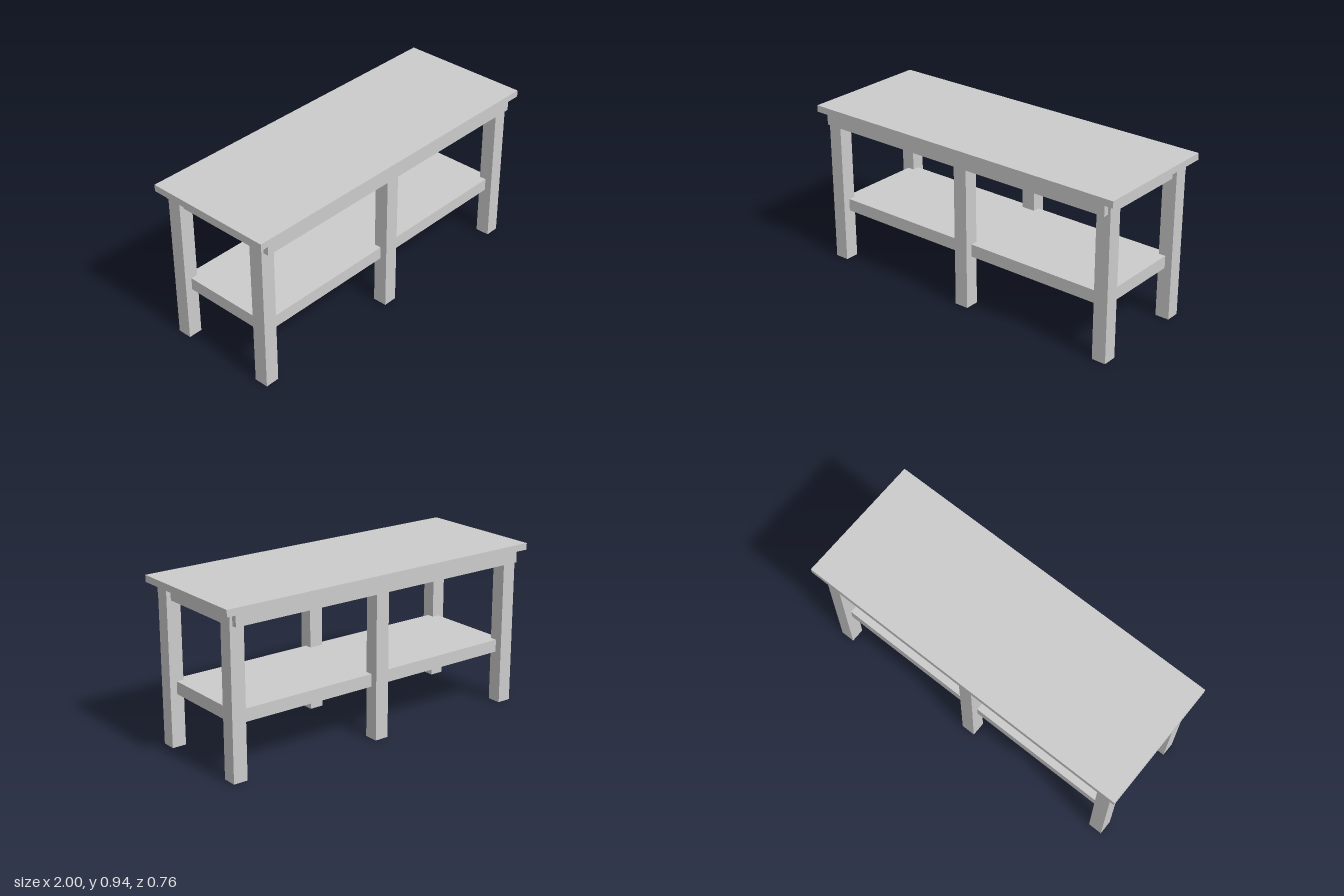
import * as THREE from 'three';

const material = new THREE.MeshStandardMaterial({ color: 0xcccccc, flatShading: true });

// Box resting on height y, centred on x and z
function board(name, w, h, d, x, y, z) {
  const mesh = new THREE.Mesh(new THREE.BoxGeometry(w, h, d), material);
  mesh.name = name;
  mesh.position.set(x, y + h / 2, z);
  return mesh;
}

export function createModel() {
  const table = new THREE.Group();
  table.name = 'workbench';

  const topBase = 0.899;
  const legSize = 0.082;
  const legX = 0.915;
  const legZ = 0.292;

  table.add(board('tabletop', 2, 0.038, 0.758, 0, topBase, 0));

  // Lower shelf, its corners let into the leg centres
  table.add(board('shelf', legX * 2, 0.072, legZ * 2, 0, 0.298, 0));

  // Three legs and one long apron on the front and the back
  for (const [sideName, s] of [['front', 1], ['back', -1]]) {
    for (const [place, x] of [['Left', legX], ['Middle', 0], ['Right', -legX]]) {
      table.add(board(`${sideName}${place}Leg`, legSize, topBase, legSize, x, 0, s * legZ));
    }
    table.add(board(`${sideName}Apron`, 1.88, 0.067, 0.03, 0, topBase - 0.067, s * 0.348));
  }

  // Short rails between the end legs, under the top
  for (const [sideName, s] of [['left', 1], ['right', -1]]) {
    table.add(board(`${sideName}EndRail`, 0.03, 0.082, legZ * 2 - legSize, s * legX, topBase - 0.082, 0));
  }

  return table;
}
